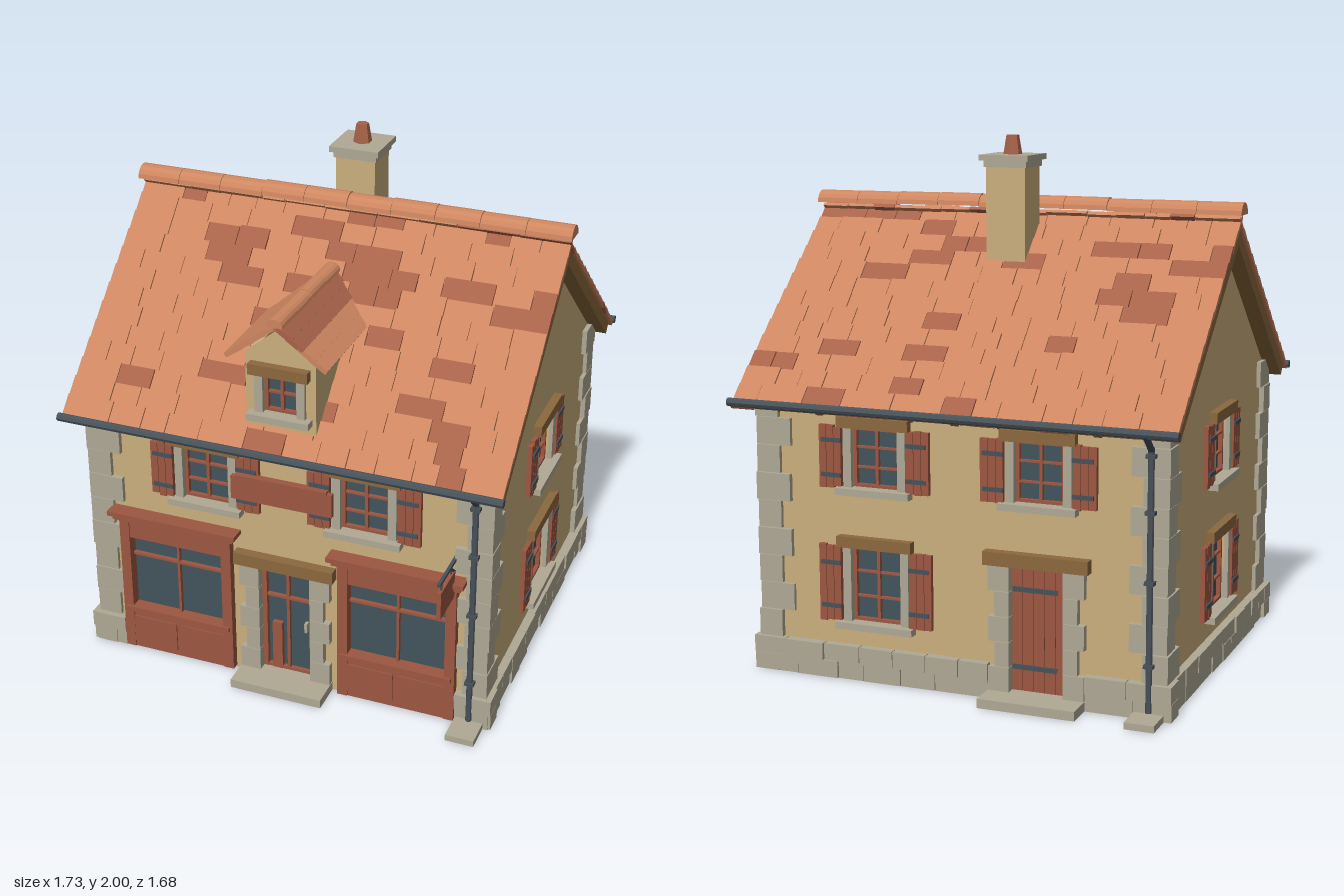
import * as THREE from 'three';
import { mergeGeometries } from 'three/addons/utils/BufferGeometryUtils.js';

const mat = (name, color) => Object.assign(new THREE.MeshStandardMaterial({ color, flatShading: true }), { name });
const M = {
  wall: mat('cream plaster', 0xcbb07e), stone: mat('grey stone', 0xb0a995),
  tile: mat('terracotta tile', 0xcd8660), darkTile: mat('dark tile', 0xa8624a),
  red: mat('red painted wood', 0x9c5741), timber: mat('brown timber', 0x8c693e),
  glass: mat('dark glass', 0x42535b), metal: mat('slate metal', 0x48525a),
};
let seed = 7;
const rnd = (a = 0, b = 1) => { seed = (seed * 16807) % 2147483647; return a + (b - a) * seed / 2147483647; };

function add(parent, name, geo, m, x = 0, y = 0, z = 0) {
  const mesh = new THREE.Mesh(geo, m);
  mesh.name = name;
  mesh.position.set(x, y, z);
  parent.add(mesh);
  return mesh;
}
const box = (p, name, m, w, h, d, x, y, z) => add(p, name, new THREE.BoxGeometry(w, h, d), m, x, y, z);
function group(parent, name, x = 0, y = 0, z = 0, ry = 0) {
  const g = new THREE.Group();
  g.name = name;
  g.position.set(x, y, z);
  g.rotation.y = ry;
  parent.add(g);
  return g;
}

// Main sizes
const WX = 0.785, ZF = 0.64, ZB = -0.70, RZ = -0.03, RY = 1.70, SLOPE = 0.846;
const PITCH = Math.atan(SLOPE), LEN = 1.025;

// Wall panel with rectangular openings [centre, bottom, width, height]
function wallPanel(face, outline, holes, depth = 0.04) {
  const s = new THREE.Shape(outline.map(p => new THREE.Vector2(...p)));
  for (const [u, y, w, h] of holes) {
    s.holes.push(new THREE.Path([[-1, 0], [-1, 1], [1, 1], [1, 0]].map(([a, b]) => new THREE.Vector2(u + a * w / 2, y + b * h))));
  }
  add(face, 'wall', new THREE.ExtrudeGeometry(s, { depth, bevelEnabled: false }), M.wall, 0, 0, -depth);
}

// Glass with painted frame and glazing bars
function glazing(g, w, h, rows, z) {
  box(g, 'glass', M.glass, w + 0.01, h + 0.01, 0.006, 0, h / 2, z - 0.01);
  for (const s of [-1, 1]) {
    box(g, 'frameSide', M.red, 0.012, h, 0.02, s * (w / 2 - 0.006), h / 2, z);
    box(g, 'frameRail', M.red, w, 0.012, 0.02, 0, h / 2 + s * (h / 2 - 0.006), z);
  }
  box(g, 'mullion', M.red, 0.012, h, 0.016, 0, h / 2, z);
  for (let i = 1; i < rows; i++) box(g, 'glazingBar', M.red, w, 0.008, 0.014, 0, h * i / rows, z);
}

function windowUnit(face, [u, y, w, h], shutters = true) {
  const g = group(face, 'window', u, y, 0);
  glazing(g, w, h, shutters ? 3 : 2, -0.02);
  for (const s of [-1, 1]) {
    box(g, 'jamb', M.stone, 0.032, h, 0.05, s * (w / 2 + 0.016), h / 2, -0.01);
    if (!shutters) continue;
    const sh = group(g, 'shutter', s * (w / 2 + 0.083), 0, 0.012);
    for (let i = -1; i <= 1; i++) box(sh, 'board', M.red, 0.028, h + rnd(-0.008, 0.012), 0.018, i * 0.03, h / 2, 0);
    for (const t of [0.2, 0.78]) box(sh, 'strap', M.metal, 0.08, 0.016, 0.006, -s * 0.006, h * t, 0.012);
  }
  box(g, 'sill', M.stone, w + 0.11, 0.026, 0.075, 0, -0.012, 0.005);
  box(g, 'lintel', M.timber, w + 0.1, 0.042, 0.065, 0, h + 0.021, 0);
}

// Stone jambs, lintel and step round a doorway
function doorway(face, u, leafBuilder) {
  const g = group(face, 'doorway', u, 0, 0);
  for (const s of [-1, 1]) for (let i = 0; i < 5; i++) {
    const w = i % 2 ? 0.055 : 0.08;
    box(g, 'jambStone', M.stone, w, 0.092, 0.065, s * (0.103 + w / 2), 0.08 + i * 0.094, -0.005);
  }
  box(g, 'doorLintel', M.timber, 0.4, 0.05, 0.08, 0, 0.53, 0);
  box(g, 'doorstep', M.stone, 0.37, 0.035, 0.15, 0, 0.018, 0.055);
  leafBuilder(group(g, 'door', 0, 0.035, -0.02));
}
function glazedDoor(d) {
  glazing(d, 0.21, 0.465, 1, 0);
  box(d, 'stile', M.red, 0.02, 0.465, 0.024, -0.095, 0.232, 0);
  box(d, 'transom', M.red, 0.21, 0.01, 0.018, 0, 0.33, 0);
  box(d, 'lowerPanel', M.red, 0.04, 0.21, 0.024, -0.045, 0.105, 0);
  box(d, 'handle', M.stone, 0.012, 0.04, 0.02, 0.08, 0.225, 0.02);
}
function boardDoor(d) {
  for (let i = -2; i <= 2; i++) box(d, 'board', M.red, 0.04, 0.465, 0.022, i * 0.042, 0.232, 0);
  for (const y of [0.09, 0.38]) box(d, 'strap', M.metal, 0.17, 0.018, 0.006, -0.015, y, 0.013);
}

function shopfront(face, u) {
  const g = group(face, 'shopfront', u, 0, 0);
  box(g, 'stallRiser', M.red, 0.46, 0.185, 0.05, 0, 0.1, 0.0);
  for (const s of [-1, 1]) {
    box(g, 'riserPanel', M.red, 0.19, 0.12, 0.008, s * 0.105, 0.095, 0.027);
    box(g, 'pilaster', M.red, 0.04, 0.6, 0.06, s * 0.212, 0.31, 0.002);
  }
  box(g, 'shopSill', M.red, 0.44, 0.018, 0.075, 0, 0.193, 0.005);
  box(g, 'fascia', M.red, 0.46, 0.09, 0.055, 0, 0.56, 0);
  box(g, 'cornice', M.red, 0.5, 0.02, 0.09, 0, 0.608, 0.005);
  box(g, 'corniceTop', M.red, 0.53, 0.018, 0.11, 0, 0.627, 0.01);
  box(g, 'shopGlass', M.glass, 0.4, 0.33, 0.006, 0, 0.355, -0.015);
  box(g, 'mullion', M.red, 0.01, 0.32, 0.02, 0, 0.355, -0.005);
  box(g, 'transom', M.red, 0.4, 0.01, 0.02, 0, 0.43, -0.005);
}

// Two uneven stone courses over the given stretches of a wall
function plinth(face, stretches) {
  for (const [a, b] of stretches) for (let row = 0; row < 2; row++) {
    for (let x = a; x < b - 0.001;) {
      let w = rnd(0.1, 0.19);
      if (b - x - w < 0.06) w = b - x;
      const out = rnd(0.022, 0.032) + row * 0.006;
      box(face, 'plinthStone', M.stone, w - 0.003, 0.064, 0.06 + out, x + w / 2, 0.034 + row * 0.066, out / 2 - 0.03);
      x += w;
    }
  }
}

// One roof side: timber deck, rafter tails, lapped tiles and gutter
function roofSide(parent, name, ry) {
  const side = group(parent, name, 0, RY, RZ, ry);
  const s = group(side, 'slope');
  s.rotation.x = PITCH;
  box(s, 'deck', M.timber, 1.69, 0.05, 0.99, 0, -0.045, 0.495);
  for (let i = 0; i < 9; i++) box(s, 'rafterTail', M.timber, 0.03, 0.03, 0.14, -0.72 + i * 0.18, -0.083, 0.905);
  const sets = { tile: [], darkTile: [] }, rows = 13, step = LEN / rows;
  for (let r = 0; r < rows; r++) {
    for (let x = -0.855; x < 0.854;) {
      let w = rnd(0.09, 0.2);
      if (0.855 - x - w < 0.06) w = 0.855 - x;
      const t = new THREE.BoxGeometry(w - 0.003, 0.014, step * 1.3).rotateX(0.09);
      t.translate(x + w / 2, -0.008 + rnd(-0.002, 0.002), (r + 0.4) * step + rnd(-0.004, 0.004));
      sets[rnd() < 0.18 ? 'darkTile' : 'tile'].push(t);
      x += w;
    }
  }
  for (const k in sets) add(s, 'roofTiles', mergeGeometries(sets[k]), M[k]);
  const gutter = new THREE.CylinderGeometry(0.016, 0.016, 1.725, 8).rotateZ(Math.PI / 2);
  add(side, 'gutter', gutter, M.metal, 0, -0.658, 0.782);
}

// Half-round ridge tiles laid along an axis from a to b
function ridge(parent, r, a, b, n) {
  const arc = new THREE.Shape().absarc(0, 0, r, 0, Math.PI);
  for (let i = 0; i < n; i++) {
    const l = (b - a) / n, geo = new THREE.ExtrudeGeometry(arc, { depth: l * 0.99, bevelEnabled: false, curveSegments: 4 });
    add(parent, 'ridgeTile', geo, M.tile, 0, rnd(-0.004, 0.004), a + i * l);
  }
}

function dormer(house) {
  const d = group(house, 'dormer'), face = group(d, 'dormerFront', 0, 0, 0.66), win = [0, 1.175, 0.13, 0.155];
  wallPanel(face, [[-0.135, 1.11], [0.135, 1.11], [0.135, 1.4], [0, 1.51], [-0.135, 1.4]], [win], 0.03);
  windowUnit(face, win, false);
  const cheek = new THREE.Shape([[0.65, 1.11], [0.65, 1.4], [0.32, 1.4]].map(p => new THREE.Vector2(...p)));
  for (const s of [-1, 1]) {
    const geo = new THREE.ExtrudeGeometry(cheek, { depth: 0.02, bevelEnabled: false }).rotateY(-Math.PI / 2);
    add(d, 'cheek', geo, M.wall, s * 0.125 + 0.01, 0, 0);
    // Roof courses, cut back where they run into the main roof
    for (let i = 0; i < 4; i++) {
      const c = new THREE.BoxGeometry(0.075, 0.018, 1).rotateZ(-s * 0.6);
      c.translate(s * (0.03 + i * 0.044), 1.517 - i * 0.033, 0);
      const p = c.attributes.position;
      for (let k = 0; k < p.count; k++) p.setZ(k, p.getZ(k) > 0 ? 0.705 : RZ + (RY - p.getY(k)) / SLOPE - 0.03);
      c.computeVertexNormals();
      add(d, 'dormerCourse', c, s > 0 && i < 2 ? M.darkTile : M.tile);
    }
  }
  ridge(group(d, 'dormerRidge', 0, 1.535, 0), 0.032, 0.16, 0.71, 4);
}

// Downpipe with swan neck, clips and splash stone
function downpipe(house, x, z, dir) {
  const g = group(house, 'downpipe', x, 0, z, dir > 0 ? 0 : Math.PI);
  add(g, 'pipe', new THREE.CylinderGeometry(0.012, 0.012, 0.95, 8), M.metal, 0, 0.505, 0);
  const neck = new THREE.LineCurve3(new THREE.Vector3(0, 0.97, 0), new THREE.Vector3(0, 1.04, 0.075));
  add(g, 'neck', new THREE.TubeGeometry(neck, 1, 0.012, 8), M.metal);
  for (const y of [0.2, 0.5, 0.75, 0.95]) box(g, 'clip', M.metal, 0.036, 0.014, 0.036, 0, y, -0.004);
  box(g, 'splashStone', M.stone, 0.11, 0.025, 0.12, 0, 0.014, 0.05);
}

export function createModel() {
  const house = new THREE.Group();
  house.name = 'house';
  const front = group(house, 'frontWall', 0, 0, ZF), back = group(house, 'backWall', 0, 0, ZB, Math.PI);
  const rect = [[-WX, 0], [WX, 0], [WX, 1.07], [-WX, 1.07]];

  // Front: two shops, glazed door, two windows and a name board
  const fw = [-1, 1].map(s => [s * 0.315, 0.735, 0.185, 0.225]);
  wallPanel(front, rect, [...fw, [0, 0.03, 0.21, 0.475], ...[-1, 1].map(s => [s * 0.448, 0.2, 0.385, 0.315])]);
  fw.forEach(w => windowUnit(front, w));
  for (const s of [-1, 1]) shopfront(front, s * 0.448);
  doorway(front, 0, glazedDoor);
  box(front, 'nameBoard', M.red, 0.4, 0.095, 0.02, 0, 0.842, 0.03);
  box(front, 'nameBoardCap', M.red, 0.36, 0.012, 0.03, 0, 0.893, 0.03);
  plinth(front, [[-0.825, -0.68], [0.68, 0.825]]);

  // Back: three windows and a boarded door
  const bw = [[-0.32, 0.735, 0.185, 0.225], [0.32, 0.735, 0.185, 0.225], [-0.32, 0.225, 0.2, 0.285]];
  wallPanel(back, rect, [...bw, [0.315, 0.03, 0.21, 0.475]]);
  bw.forEach(w => windowUnit(back, w));
  doorway(back, 0.315, boardDoor);
  plinth(back, [[-0.825, 0.13], [0.5, 0.825]]);

  // Gable walls
  for (const s of [-1, 1]) {
    const g = group(house, s > 0 ? 'leftGable' : 'rightGable', s * WX, 0, 0, s * Math.PI / 2), c = -s * RZ;
    const wins = [[c, 0.735, 0.19, 0.225], [c, 0.225, 0.215, 0.285]];
    wallPanel(g, [[c - 0.67, 0], [c + 0.67, 0], [c + 0.67, 1.07], [c, 1.64], [c - 0.67, 1.07]], wins);
    wins.forEach(w => windowUnit(g, w));
    plinth(g, [[c - 0.7, c + 0.7]]);
  }

  // Corner stones, alternately long and short
  for (const sx of [-1, 1]) for (const sz of [-1, 1]) for (let i = 0; i < 9; i++) {
    const [w, d] = i % 2 ? [0.14, 0.095] : [0.095, 0.14], e = rnd(0, 0.008);
    const z = (sz > 0 ? ZF : ZB) + sz * (0.014 + e);
    box(house, 'quoin', M.stone, w, 0.103, d, sx * (WX + 0.014 + e - w / 2), 0.185 + i * 0.1055, z - sz * d / 2);
  }

  // Roof
  roofSide(house, 'frontRoof', 0);
  roofSide(house, 'backRoof', Math.PI);
  ridge(group(house, 'mainRidge', 0, 1.722, RZ, Math.PI / 2), 0.046, -0.865, 0.865, 10);
  dormer(house);

  // Chimney
  const ch = group(house, 'chimney', 0, 0, -0.15);
  box(ch, 'stack', M.wall, 0.155, 0.38, 0.15, 0, 1.7, 0);
  box(ch, 'stackBand', M.stone, 0.17, 0.025, 0.165, 0, 1.895, 0);
  box(ch, 'chimneyCap', M.stone, 0.195, 0.022, 0.195, 0, 1.918, 0);
  add(ch, 'pot', new THREE.CylinderGeometry(0.024, 0.036, 0.072, 6), M.darkTile, 0, 1.964, 0);

  downpipe(house, 0.74, 0.67, 1);
  downpipe(house, -0.74, -0.73, -1);

  // Hanging shop sign on a bracket
  const sign = group(house, 'hangingSign', 0.665, 0, 0);
  box(sign, 'bracketBar', M.metal, 0.012, 0.012, 0.2, 0, 0.715, 0.74);
  box(sign, 'bracketBrace', M.metal, 0.01, 0.01, 0.09, 0, 0.69, 0.69).rotation.x = -0.7;
  for (const z of [0.7, 0.81]) box(sign, 'hanger', M.metal, 0.006, 0.04, 0.006, 0, 0.695, z);
  box(sign, 'signBoard', M.red, 0.016, 0.11, 0.155, 0, 0.625, 0.757);
  return house;
}
